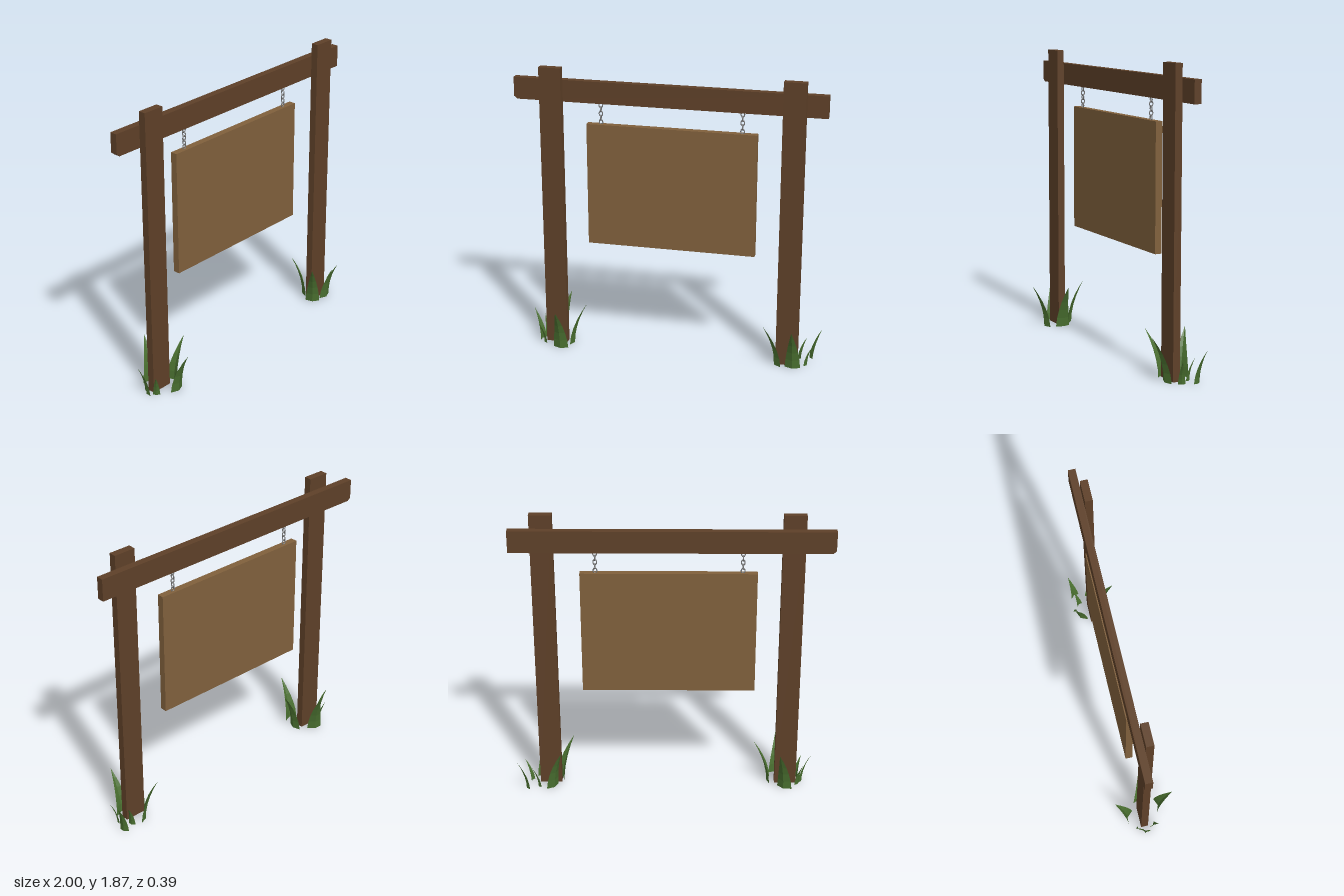
import * as THREE from 'three';

const material = (color, extra = {}) => {
  const m = new THREE.MeshStandardMaterial({ flatShading: true, ...extra });
  m.color.set(color);
  return m;
};

const wood = material(0x5e4028);
const boardWood = material(0x80603c);
const iron = material(0x777777);
const leaf = material(0x4a7030, { side: THREE.DoubleSide });

// Box given by its min and max corners
function block(name, [x0, y0, z0], [x1, y1, z1], mat) {
  const mesh = new THREE.Mesh(new THREE.BoxGeometry(x1 - x0, y1 - y0, z1 - z0), mat);
  mesh.position.set((x0 + x1) / 2, (y0 + y1) / 2, (z0 + z1) / 2);
  mesh.name = name;
  return mesh;
}

// Crossbeam: long plank with one clipped lower corner
function crossbeam() {
  const shape = new THREE.Shape([
    [-0.98, 1.645], [0.985, 1.645], [0.985, 1.785], [-1, 1.785], [-1, 1.662],
  ].map(([x, y]) => new THREE.Vector2(x, y)));
  const mesh = new THREE.Mesh(new THREE.ExtrudeGeometry(shape, { depth: 0.046, bevelEnabled: false }), wood);
  mesh.position.z = -0.092;
  mesh.name = 'crossbeam';
  return mesh;
}

// Chain: oval links, each turned a quarter from the last
function chain(name, x) {
  const group = new THREE.Group();
  group.name = name;
  const link = new THREE.TorusGeometry(0.0115, 0.0035, 6, 12).scale(1, 1.4, 1);
  const count = 5;
  for (let i = 0; i < count; i++) {
    const mesh = new THREE.Mesh(link, iron);
    mesh.name = 'chainLink';
    mesh.position.set(x, 1.523 + (i * 0.11) / (count - 1), -0.066);
    mesh.rotation.y = (i % 2) * Math.PI / 2;
    group.add(mesh);
  }
  return group;
}

// Grass blade: folded strip narrowing to a tip that curls outward
function blade([bx, bz, tx, tz, height, width]) {
  const steps = 5, pos = [], index = [];
  const reach = Math.hypot(tx - bx, tz - bz);
  for (let i = 0; i <= steps; i++) {
    const t = i / steps;
    const half = (width / 2) * (1 - Math.pow(t, 1.4));
    const out = reach * Math.pow(t, 1.8);
    const fold = half * 0.4;
    pos.push(-half, t * height, out - fold / 2, 0, t * height, out + fold / 2, half, t * height, out - fold / 2);
    if (i === steps) continue;
    for (const k of [3 * i, 3 * i + 1]) index.push(k, k + 1, k + 4, k, k + 4, k + 3);
  }
  const geo = new THREE.BufferGeometry();
  geo.setAttribute('position', new THREE.Float32BufferAttribute(pos, 3));
  geo.setIndex(index);
  geo.computeVertexNormals();
  const mesh = new THREE.Mesh(geo, leaf);
  mesh.position.set(bx, 0, bz);
  mesh.rotation.y = Math.atan2(tx - bx, tz - bz);
  mesh.name = 'grassBlade';
  return mesh;
}

function grass(name, blades) {
  const group = new THREE.Group();
  group.name = name;
  blades.forEach((b) => group.add(blade(b)));
  return group;
}

export function createModel() {
  const model = new THREE.Group();
  model.name = 'hangingSign';

  model.add(
    block('rightPost', [-0.82, 0, -0.045], [-0.68, 1.87, 0.002], wood),
    block('leftPost', [0.715, 0, -0.045], [0.855, 1.87, 0.002], wood),
    crossbeam(),
    block('signBoard', [-0.53, 0.71, -0.088], [0.555, 1.51, -0.044], boardWood),
    chain('rightChain', -0.44),
    chain('leftChain', 0.46),
  );

  // Each blade: base x, base z, tip x, tip z, height, width
  model.add(grass('rightGrass', [
    [-0.70, 0.09, -0.70, 0.19, 0.29, 0.1],
    [-0.64, -0.01, -0.54, -0.005, 0.29, 0.095],
    [-0.74, -0.11, -0.70, -0.197, 0.29, 0.1],
    [-0.855, -0.02, -0.915, -0.043, 0.21, 0.06],
    [-0.825, 0.03, -0.86, 0.062, 0.15, 0.045],
    [-0.83, -0.06, -0.86, -0.09, 0.15, 0.045],
  ]));
  model.add(grass('leftGrass', [
    [0.83, 0.035, 0.83, 0.137, 0.29, 0.1],
    [0.72, 0.01, 0.635, 0.07, 0.29, 0.095],
    [0.765, -0.105, 0.70, -0.17, 0.29, 0.1],
    [0.935, -0.118, 0.995, -0.147, 0.21, 0.06],
    [0.91, -0.025, 0.955, -0.005, 0.15, 0.045],
    [0.86, -0.1, 0.90, -0.125, 0.15, 0.045],
  ]));
  return model;
}
